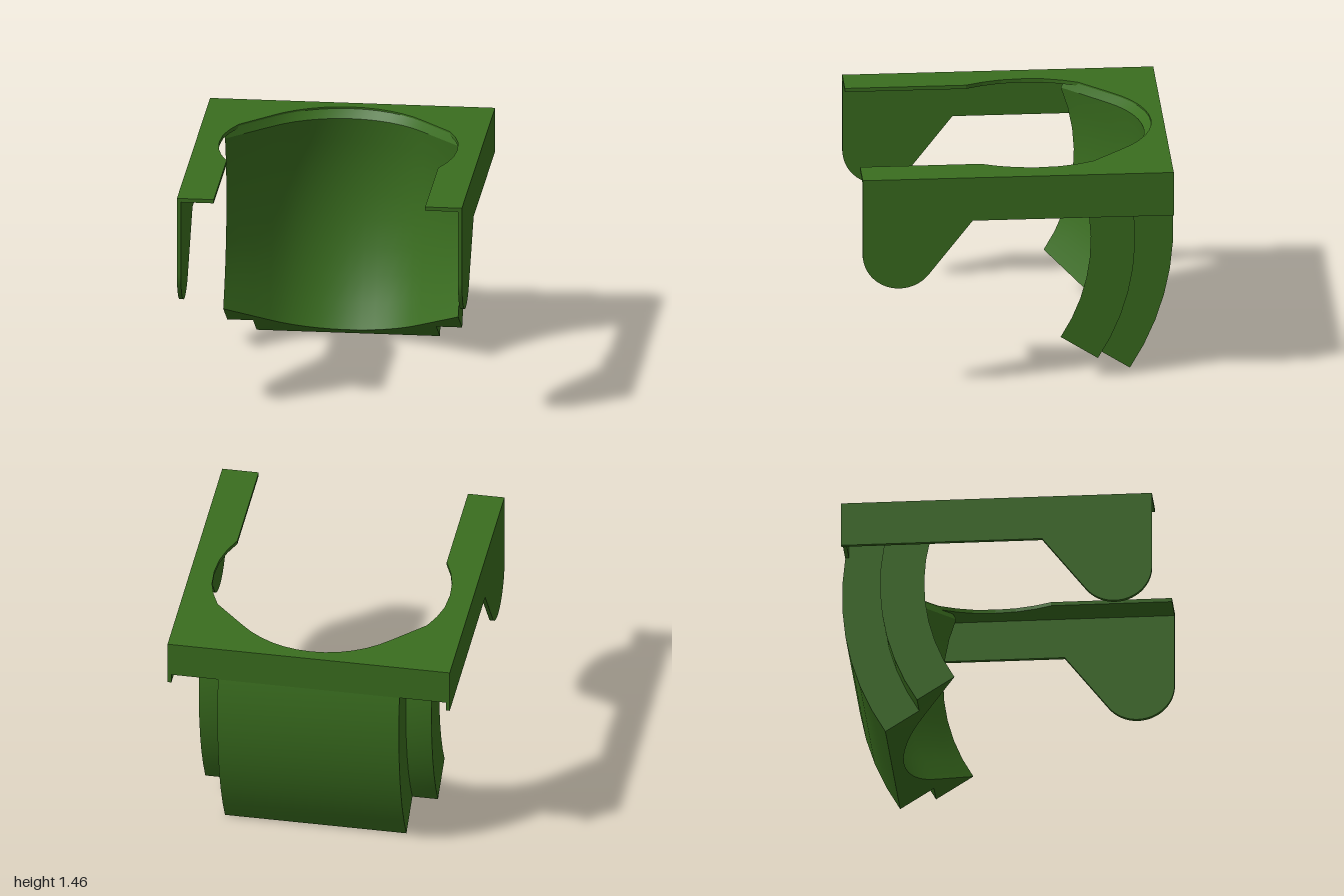
import * as THREE from 'three';
import { toCreasedNormals } from 'three/addons/utils/BufferGeometryUtils.js';

const TOP = 1.463, HALF = 0.91, BACK = -0.98, WALL = 0.025;
const AXIS = { y: 0.955, z: 0.765 }; // sideways axis shared by the lugs and the curved guard
const material = new THREE.MeshStandardMaterial({ color: 0x3a6e1f });

function addMesh(group, geometry, name) {
  const mesh = new THREE.Mesh(geometry, material);
  mesh.name = name;
  group.add(mesh);
  return mesh;
}

// Inner channel: round in the middle, straight 45 degree flanks; radius from the axis at x
function channelRadius(x) {
  const a = Math.abs(x);
  return a < 0.48 ? 1 + Math.sqrt(0.68 ** 2 - a * a) : 1.482 - (a - 0.48) * 0.94;
}
const holeEdge = (x) => -0.9 + 1.09 * (1.68 - channelRadius(x));

// Channel points from left edge to right edge of the guard
function channelXs() {
  const xs = [-0.75, -0.675, -0.58];
  for (let i = -6; i <= 6; i++) xs.push(0.68 * Math.sin((i / 6) * Math.PI / 4));
  return [...xs, 0.58, 0.675, 0.75];
}

// Thin top plate with two arms and a rounded cut-out
function plateGeometry() {
  const side = [[0.675, 1], [0.675, 0.23], [0.72, 0.12], [0.75, 0], [0.76, -0.13], [0.75, -0.27], [0.72, -0.38]];
  const back = channelXs().filter((x) => Math.abs(x) < 0.7).reverse().map((x) => [x, holeEdge(x)]);
  const mirrored = side.map(([x, z]) => [-x, z]).reverse();
  const outline = [[-HALF, 1], [-HALF, BACK], [HALF, BACK], [HALF, 1], ...side, ...back, ...mirrored];
  const shape = new THREE.Shape(outline.map(([x, z]) => new THREE.Vector2(x, z)));
  return new THREE.ExtrudeGeometry(shape, { depth: WALL, bevelEnabled: false }).rotateX(Math.PI / 2);
}

// Side wall with a rounded lug at the front, drawn in z and y
function sideGeometry() {
  const s = new THREE.Shape();
  s.moveTo(BACK, TOP);
  s.lineTo(BACK, 1.17);
  s.lineTo(0.3, 1.17);
  s.absarc(AXIS.z, AXIS.y, 0.235, Math.PI * 1.21, Math.PI * 2, false);
  s.lineTo(1, TOP);
  const geo = new THREE.ExtrudeGeometry(s, { depth: WALL, bevelEnabled: false, curveSegments: 20 });
  return toCreasedNormals(geo.rotateY(-Math.PI / 2), 0.5);
}

// Curved guard: stepped section swept about the axis, ending in a flared lip under the plate
function guardGeometry() {
  const inner = channelXs().map((x) => new THREE.Vector2(x, channelRadius(x)));
  const outer = [[0.75, 1.51], [0.585, 1.51], [0.585, 1.765], [-0.585, 1.765], [-0.585, 1.51], [-0.75, 1.51]]
    .map(([x, r]) => new THREE.Vector2(x, r));
  const section = [...inner, ...outer];
  const n = section.length, rows = 9, low = -0.567;
  const pos = [], index = [];
  for (let j = 0; j <= rows; j++) {
    section.forEach(({ x, y: r }, i) => {
      const high = Math.asin(0.445 / r);
      const a = low + (high - low) * Math.min(1, j / (rows - 1));
      let y = AXIS.y + r * Math.sin(a), z = AXIS.z - r * Math.cos(a);
      if (j === rows) {
        y = 1.452;
        z = i < inner.length ? holeEdge(x) : z + 0.01;
      }
      pos.push(x, y, z);
    });
  }
  for (let j = 0; j < rows; j++) {
    for (let i = 0; i < n; i++) {
      const a = j * n + i, b = j * n + (i + 1) % n;
      index.push(a, b, b + n, a, b + n, a + n);
    }
  }
  // End faces
  for (const [a, b, c] of THREE.ShapeUtils.triangulateShape(section, [])) {
    index.push(c, b, a, a + rows * n, b + rows * n, c + rows * n);
  }
  const geo = new THREE.BufferGeometry();
  geo.setAttribute('position', new THREE.Float32BufferAttribute(pos, 3));
  geo.setIndex(index);
  return toCreasedNormals(geo, 0.5);
}

export function createModel() {
  const model = new THREE.Group();
  model.name = 'bracketWithCurvedGuard';

  addMesh(model, plateGeometry(), 'topPlate').position.y = TOP;

  const side = sideGeometry();
  addMesh(model, side, 'leftSideWall').position.x = HALF;
  addMesh(model, side, 'rightSideWall').position.x = -HALF + WALL;

  const height = TOP - 1.23;
  const back = addMesh(model, new THREE.BoxGeometry(2 * HALF, height, WALL), 'backWall');
  back.position.set(0, TOP - height / 2, BACK + WALL / 2);

  addMesh(model, guardGeometry(), 'curvedGuard');
  return model;
}
